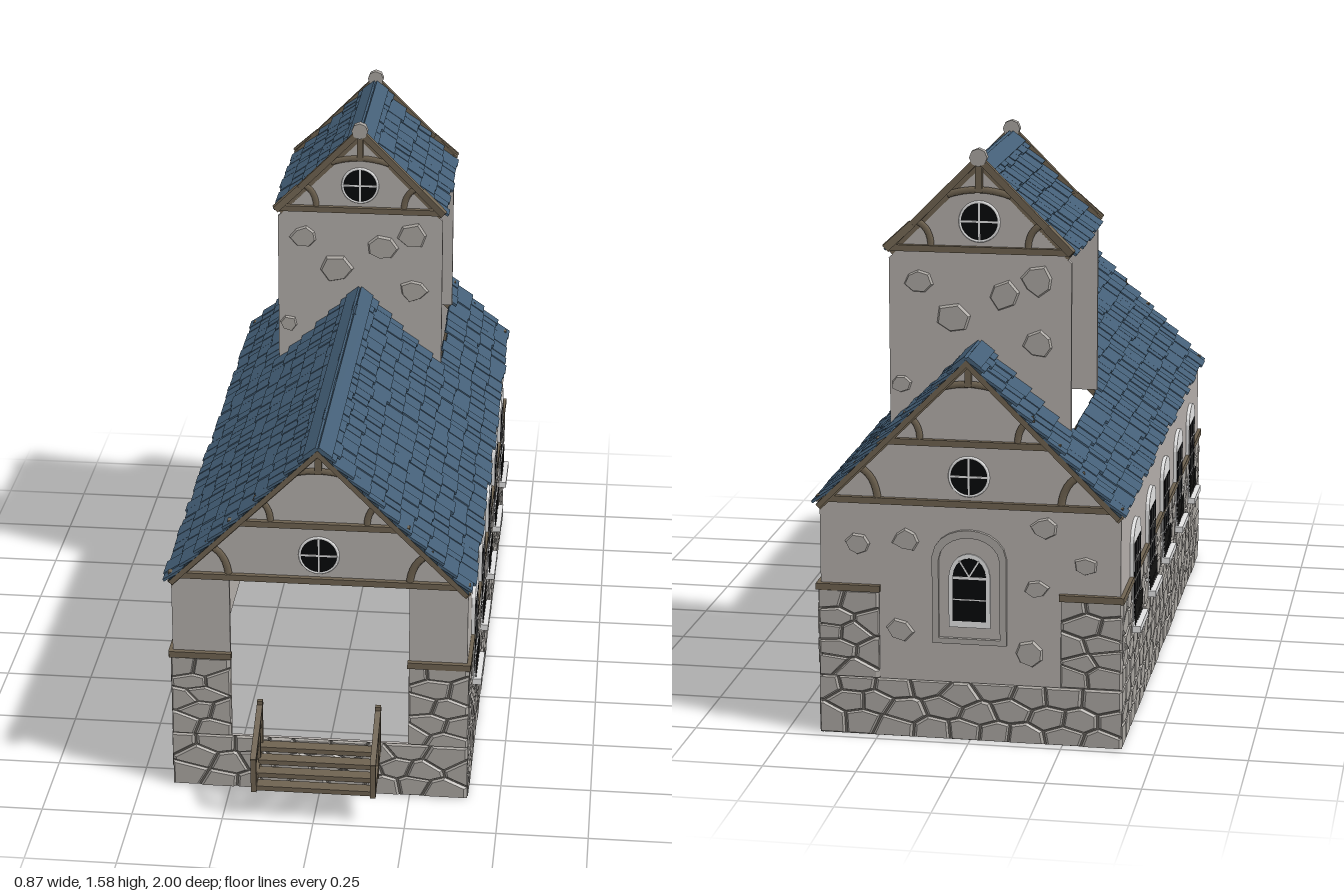
import * as THREE from 'three';
import { mergeGeometries } from 'three/addons/utils/BufferGeometryUtils.js';

const mat = (name, color) => {
  const m = new THREE.MeshStandardMaterial({ color });
  m.name = name;
  return m;
};
const M = {
  plaster: mat('plaster', 0xb2adA9), stone: mat('stone', 0xa9a5a0), mortar: mat('mortar', 0x66625d),
  timber: mat('timber', 0x6e6250), tile: mat('tile', 0x445f77), joint: mat('tileJoint', 0x24323d),
  white: mat('whitePaint', 0xe2e2e2), glass: mat('darkGlass', 0x060709), iron: mat('iron', 0x2b2a29),
};

let seed = 7;
const rand = () => (seed = (seed * 16807) % 2147483647) / 2147483647;

function add(parent, name, geo, material, x = 0, y = 0, z = 0) {
  const m = new THREE.Mesh(geo, material);
  m.name = name;
  m.position.set(x, y, z);
  parent.add(m);
  return m;
}
const box = (p, name, material, w, h, d, x, y, z) => add(p, name, new THREE.BoxGeometry(w, h, d), material, x, y, z);
function group(parent, name, x = 0, y = 0, z = 0, turn = 0) {
  const g = new THREE.Group();
  g.name = name;
  g.position.set(x, y, z);
  g.rotation.y = turn;
  parent.add(g);
  return g;
}
// Rectangular bar between two points
function bar(p, name, material, a, b, w, h = w) {
  const A = new THREE.Vector3(...a), B = new THREE.Vector3(...b);
  const m = add(p, name, new THREE.BoxGeometry(w, h, A.distanceTo(B)), material);
  m.position.copy(A).lerp(B, 0.5);
  m.quaternion.setFromRotationMatrix(new THREE.Matrix4().lookAt(B, A, new THREE.Vector3(0, 1, 0)));
}
const polygon = pts => new THREE.Shape(pts.map(p => new THREE.Vector2(...p)));
const plate = (shape, depth) => new THREE.ExtrudeGeometry(shape, { depth, bevelEnabled: false, curveSegments: 10 }).translate(0, 0, -depth / 2);

// One raised stone with a bevelled face, from its outline
function stoneTriangles(out, poly, cx, cy, h) {
  const top = poly.map(([x, y]) => [cx + (x - cx) * 0.88, cy + (y - cy) * 0.88, h]);
  poly.forEach(([x, y], i) => {
    const j = (i + 1) % poly.length, a = [x, y, 0], b = [...poly[j], 0];
    out.push(...a, ...b, ...top[j], ...a, ...top[j], ...top[i], cx, cy, h, ...top[i], ...top[j]);
  });
}
function soup(pos) {
  const g = new THREE.BufferGeometry();
  g.setAttribute('position', new THREE.Float32BufferAttribute(pos, 3));
  g.computeVertexNormals();
  return g;
}
// Rubble masonry: irregular flattened cells on a mortar bed, facing local +z
function masonry(parent, name, w, h, x, y, z, turn) {
  const g = group(parent, name, x, y, z, turn);
  box(g, 'mortarBed', M.mortar, w, h, 0.004, 0, 0, 0.001);
  const flat = 1.6, H = h * flat, sites = [], pos = [];
  const nx = Math.max(2, Math.round(w / 0.09)), ny = Math.round(h / 0.052);
  for (let i = 0; i < nx; i++) for (let j = 0; j < ny; j++)
    sites.push([((i + 0.25 + (rand() - 0.5) * 0.5 + (j % 2) * 0.5) / nx - 0.5) * w, ((j + 0.5 + (rand() - 0.5) * 0.6) / ny - 0.5) * H]);
  for (const [sx, sy] of sites) {
    let poly = [[-w / 2, -H / 2], [w / 2, -H / 2], [w / 2, H / 2], [-w / 2, H / 2]];
    for (const [ox, oy] of sites) {
      const dx = ox - sx, dy = oy - sy, d = Math.hypot(dx, dy);
      if (d === 0 || d > 0.3) continue;
      const side = p => ((p[0] - sx) * dx + (p[1] - sy) * dy) / d - d / 2 + 0.003;
      const next = [];
      poly.forEach((p, i) => {
        const q = poly[(i + 1) % poly.length], a = side(p), b = side(q), t = a / (a - b);
        if (a <= 0) next.push(p);
        if (a * b < 0) next.push([p[0] + (q[0] - p[0]) * t, p[1] + (q[1] - p[1]) * t]);
      });
      poly = next;
    }
    if (poly.length > 2) stoneTriangles(pos, poly.map(p => [p[0], p[1] / flat]), sx, sy / flat, 0.006 + rand() * 0.002);
  }
  add(g, 'stones', soup(pos), M.stone, 0, 0, 0.003);
}
// Single stones showing through plaster
function looseStones(parent, list) {
  const pos = [];
  for (const [x, y, r] of list) {
    const n = 6 + Math.floor(rand() * 2), poly = [], turn = rand() * 3;
    for (let i = 0; i < n; i++) {
      const a = turn + i / n * Math.PI * 2, k = r * (0.85 + rand() * 0.35);
      poly.push([x + Math.cos(a) * k * 1.1, y + Math.sin(a) * k * 0.95]);
    }
    stoneTriangles(pos, poly, x, y, 0.01);
  }
  add(parent, 'looseStones', soup(pos), M.stone);
}

const PITCH = 0.0575;
// Gabled roof at 45 degrees; each piece is [firstRow, endRow, zBack, zFront]
function roof(parent, name, ridgeY, pieces) {
  const g = group(parent, name);
  for (const side of [1, -1]) {
    const tiles = [];
    const place = geo => {
      geo.rotateZ(-Math.PI / 4);
      if (side < 0) geo.rotateY(Math.PI);
      return geo.translate(0, ridgeY, 0);
    };
    for (const [r0, r1, zb, zf] of pieces) {
      const s0 = r0 * PITCH, s1 = r1 * PITCH;
      const deck = new THREE.BoxGeometry(s1 - s0, 0.014, zf - zb).translate((s0 + s1) / 2, -0.007, side * (zb + zf) / 2);
      add(g, 'roofDeck', place(deck), [M.timber, M.timber, M.joint, M.timber, M.timber, M.timber]);
      for (let r = r0; r < r1; r++) for (let z = zb; z < zf - 0.005;) {
        let w = 0.035 + rand() * 0.045;
        if (zf - z - w < 0.03) w = zf - z;
        const len = PITCH * (1.08 + rand() * 0.2);
        tiles.push(place(new THREE.BoxGeometry(len, 0.007, w - 0.003).rotateZ(0.19)
          .translate((r + 0.5) * PITCH + (rand() - 0.5) * 0.01, 0.004 + rand() * 0.003, side * (z + w / 2))));
        z += w;
      }
      if (r0 === 0) tiles.push(place(new THREE.BoxGeometry(0.045, 0.008, zf - zb).rotateZ(0.12).translate(0.019, 0.009, side * (zb + zf) / 2)));
    }
    add(g, 'shingles', mergeGeometries(tiles), M.tile);
  }
}

function roundWindow(p, y) {
  const g = group(p, 'roundWindow', 0, y, -0.0075);
  add(g, 'pane', new THREE.CylinderGeometry(0.051, 0.051, 0.024, 28).rotateX(Math.PI / 2), M.glass);
  for (const z of [-0.01, 0.01]) add(g, 'ring', new THREE.TorusGeometry(0.052, 0.004, 6, 28), M.white, 0, 0, z);
  box(g, 'crossBar', M.white, 0.1, 0.005, 0.028, 0, 0, 0);
  box(g, 'crossBar', M.white, 0.005, 0.1, 0.028, 0, 0, 0);
}
// Curved braces, tie, collar and king post of a gable top, from its tie height
function trussTop(p, y) {
  const curve = (a, b, c) => add(p, 'curvedBrace', new THREE.TubeGeometry(
    new THREE.QuadraticBezierCurve3(...[a, b, c].map(q => new THREE.Vector3(q[0], y + q[1], 0.004))), 8, 0.009, 4), M.timber);
  box(p, 'tieBeam', M.timber, 0.49, 0.017, 0.018, 0, y, 0.005);
  for (const s of [1, -1]) curve([s * 0.13, 0.005], [s * 0.13, 0.06], [s * 0.175, 0.075]);
  curve([-0.085, 0.145], [0, 0.175], [0.085, 0.145]);
  box(p, 'kingPost', M.timber, 0.018, 0.07, 0.016, 0, y + 0.188, 0.004);
}
function rafters(p, halfW, y0, y1, z, d) {
  for (const s of [1, -1]) bar(p, 'rafter', M.timber, [0, y1, z], [s * halfW, y0, z], d, 0.018);
}

function archShape(w, y0, ySpring, yTop) {
  const s = new THREE.Shape();
  s.moveTo(-w / 2, y0);
  s.lineTo(w / 2, y0);
  s.lineTo(w / 2, ySpring);
  s.bezierCurveTo(w / 2 * 0.9, yTop, -w / 2 * 0.9, yTop, -w / 2, ySpring);
  return s;
}
// Nave window seen from both sides of the wall, with sill and iron guard
function sideWindow(p, z, side) {
  const g = group(p, 'sideWindow', side * 0.401, 0, z, side * Math.PI / 2);
  add(g, 'frame', plate(archShape(0.152, 0.28, 0.515, 0.582), 0.026), M.white);
  box(g, 'pane', M.glass, 0.128, 0.21, 0.028, 0, 0.405, 0);
  for (const x of [-0.021, 0.021]) box(g, 'glazingBar', M.white, 0.004, 0.21, 0.03, x, 0.405, 0);
  for (const y of [0.355, 0.407, 0.459]) box(g, 'glazingBar', M.white, 0.128, 0.004, 0.03, 0, y, 0);
  box(g, 'sill', M.white, 0.16, 0.018, 0.033, 0, 0.275, 0.0175);
  for (const y of [0.296, 0.31, 0.324, 0.338]) box(g, 'guardSlat', M.white, 0.128, 0.004, 0.004, 0, y, 0.014);
  for (const y of [0.303, 0.345]) box(g, 'guardRail', M.iron, 0.145, 0.003, 0.003, 0, y, 0.018);
  for (let i = 0; i < 7; i++) box(g, 'guardBar', M.iron, 0.002, 0.06, 0.003, -0.069 + i * 0.023, 0.314, 0.018);
}

export function createModel() {
  const root = new THREE.Group();
  root.name = 'chapel';

  // Nave side walls
  for (const s of [1, -1]) {
    const t = s * Math.PI / 2;
    box(root, 'sideWall', M.plaster, 0.013, 0.64, 1.78, s * 0.3975, 0.32, -0.075);
    masonry(root, 'sideBase', 1.79, 0.16, s * 0.402, 0.08, -0.075, t);
    masonry(root, 'sideMasonry', 1.79, 0.242, s * 0.402, 0.283, -0.075, t);
    box(root, 'sideBeam', M.timber, 0.016, 0.018, 1.81, s * 0.407, 0.412, -0.075);
    for (let i = 0; i < 5; i++) sideWindow(root, 0.577 - i * 0.322, s);
  }

  // Front and back walls with gables; the front has the tall open doorway
  for (const s of [1, -1]) {
    const g = group(root, s > 0 ? 'frontEnd' : 'backEnd', 0, 0, s > 0 ? 0.82 : -0.965, s > 0 ? 0 : Math.PI);
    const wall = polygon([[-0.404, 0], [0.404, 0], [0.404, 0.627], [0, 1.031], [-0.404, 0.627]]);
    if (s > 0) wall.holes.push(new THREE.Path(polygon([[-0.245, 0.157], [-0.245, 0.645], [0.245, 0.645], [0.245, 0.157]]).getPoints()));
    add(g, 'endWall', plate(wall, 0.015), M.plaster, 0, 0, -0.0075);
    masonry(g, 'endBase', 0.82, 0.16, 0, 0.08, 0, 0);
    for (const x of [0.3275, -0.3275]) {
      masonry(g, 'cornerMasonry', 0.165, 0.242, x, 0.283, 0, 0);
      box(g, 'cornerBeam', M.timber, 0.172, 0.018, 0.018, x, 0.412, 0.005);
    }
    box(g, 'eaveBeam', M.timber, 0.82, 0.017, 0.018, 0, 0.656, 0.005);
    for (const x of [1, -1]) add(g, 'curvedBrace', new THREE.TubeGeometry(new THREE.QuadraticBezierCurve3(
      new THREE.Vector3(x * 0.245, 0.655, 0.004), new THREE.Vector3(x * 0.25, 0.735, 0.004), new THREE.Vector3(x * 0.31, 0.75, 0.004)), 8, 0.01, 4), M.timber);
    trussTop(g, 0.82);
    rafters(g, 0.405, 0.632, 1.037, 0.008, 0.016);
    roundWindow(g, 0.73);
    if (s < 0) {
      // Arched altar window with a raised surround
      const ring = archShape(0.2, 0.27, 0.51, 0.61);
      ring.holes.push(archShape(0.165, 0.285, 0.5, 0.585));
      add(g, 'windowSurround', plate(ring, 0.012), M.stone, 0, 0, 0.004);
      add(g, 'archFrame', plate(archShape(0.112, 0.315, 0.455, 0.54), 0.023), M.white, 0, 0, -0.0075);
      add(g, 'archPane', plate(archShape(0.09, 0.333, 0.455, 0.524), 0.027), M.glass, 0, 0, -0.0075);
      box(g, 'archBar', M.white, 0.09, 0.007, 0.03, 0, 0.453, -0.0075);
      box(g, 'archBar', M.white, 0.09, 0.003, 0.03, 0, 0.393, -0.0075);
      for (const x of [1, -1]) bar(g, 'archBar', M.white, [0, 0.457, -0.0075], [x * 0.026, 0.5, -0.0075], 0.03, 0.004);
      looseStones(g, [[-0.17, 0.55, 0.032], [0.2, 0.6, 0.03], [0.16, 0.25, 0.035], [-0.19, 0.3, 0.032], [-0.3, 0.53, 0.03], [0.31, 0.5, 0.03], [0.18, 0.43, 0.028]]);
    }
  }

  // Main roof, left open beneath the tower
  roof(root, 'mainRoof', 1.051, [[0, 6, -0.31, 0.85], [0, 6, -1, -0.8], [6, 10, -1, 0.85]]);

  // Tower: front and back walls only, open at the sides
  for (const s of [1, -1]) {
    const g = group(root, s > 0 ? 'towerFront' : 'towerBack', 0, 0, s > 0 ? -0.31 : -0.8, s > 0 ? 0 : Math.PI);
    add(g, 'towerWall', plate(polygon([[-0.245, 0.82], [0.245, 0.82], [0.245, 1.275], [0, 1.52], [-0.245, 1.275]]), 0.013), M.plaster, 0, 0, -0.0065);
    looseStones(g, [[-0.165, 1.215, 0.036], [0.065, 1.185, 0.04], [0.155, 1.225, 0.04], [-0.07, 1.115, 0.043], [0.16, 1.055, 0.036], [-0.215, 0.935, 0.025]]);
    trussTop(g, 1.305);
    roundWindow(g, 1.38);
    rafters(g, 0.248, 1.3, 1.55, 0.008, 0.016);
    for (const x of [1, -1]) bar(g, 'flaredRafterFoot', M.timber, [x * 0.18, 1.37, 0.008], [x * 0.25, 1.305, 0.022], 0.018, 0.02);
    add(g, 'ridgeKnob', new THREE.CylinderGeometry(0.024, 0.024, 0.022, 8).rotateX(Math.PI / 2), M.stone, 0, 1.552, 0.008);
  }
  roof(root, 'towerRoof', 1.537, [[0, 6, -0.8, -0.31]]);

  // Timber entrance steps with handrails
  const steps = group(root, 'entranceSteps');
  for (let i = 0; i < 4; i++) box(steps, 'tread', M.timber, 0.32, 0.014, 0.036, 0, 0.148 - i * 0.018, 0.85 + i * 0.039);
  for (const x of [0.163, -0.163]) {
    bar(steps, 'stringer', M.timber, [x, 0.145, 0.83], [x, 0.09, 0.982], 0.014, 0.02);
    bar(steps, 'handrail', M.timber, [x, 0.275, 0.83], [x, 0.185, 0.993], 0.016, 0.012);
    bar(steps, 'midRail', M.timber, [x, 0.215, 0.835], [x, 0.14, 0.985], 0.008, 0.008);
    for (const [z, y0, y1] of [[0.838, 0.14, 0.285], [0.89, 0.09, 0.243], [0.985, 0.085, 0.19]])
      box(steps, 'post', M.timber, 0.015, y1 - y0, 0.014, x, (y0 + y1) / 2, z);
  }
  return root;
}
